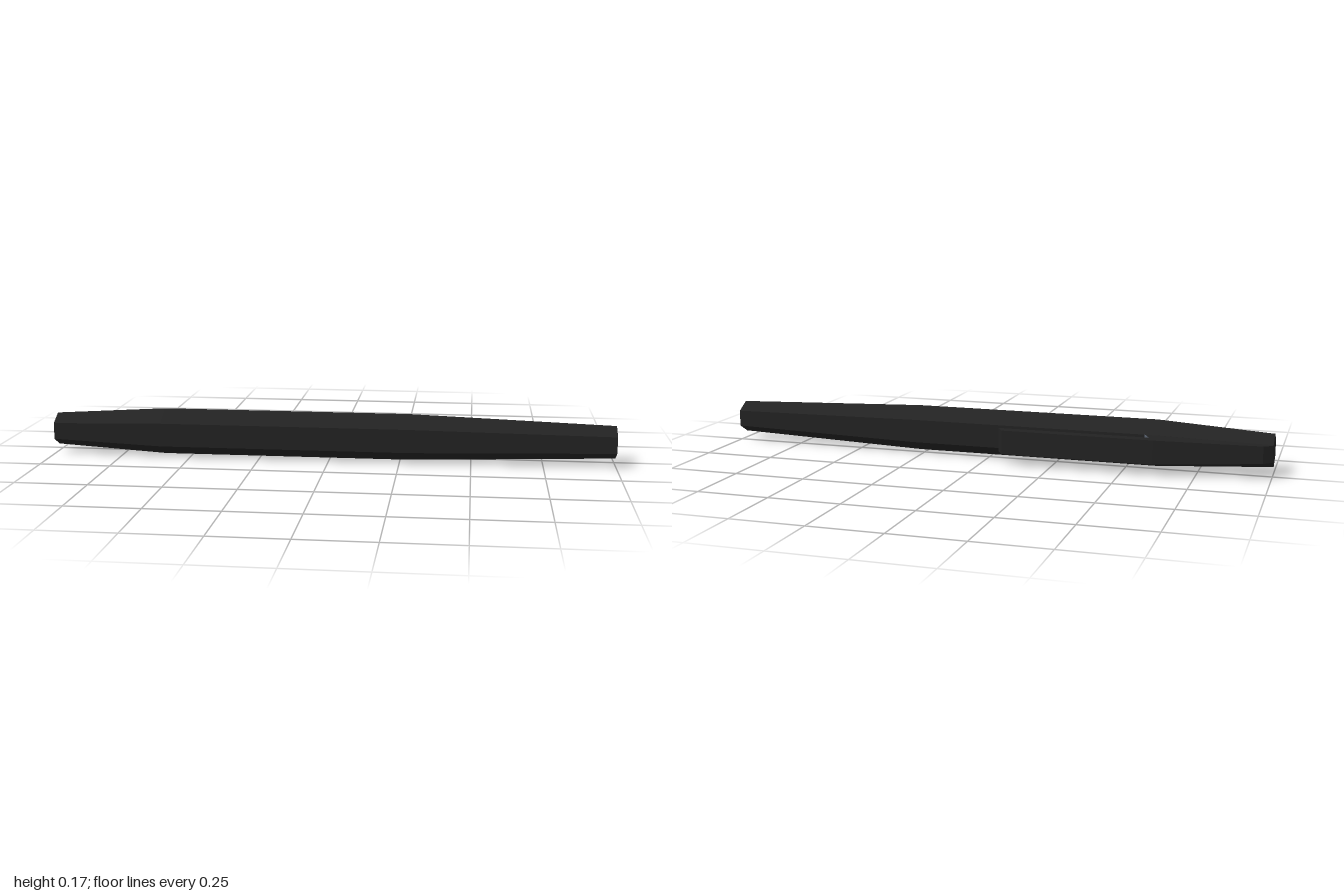
import * as THREE from 'three';

const CENTER_Y = 0.084;
const BODY_Z = 0.041;

// Half height of the clip: it follows the width of the barrel's rear flat
const clipHalf = (x) => 0.029 + 0.013 * THREE.MathUtils.clamp((x + 1) / 0.4, 0, 1);

// Upright prism from a plan outline of [x, z] points, tapered with the barrel
function clipPart(outline, name, material) {
  const shape = new THREE.Shape(outline.map(([x, z]) => new THREE.Vector2(x, z)));
  const geometry = new THREE.ExtrudeGeometry(shape, { depth: 2, bevelEnabled: false });
  geometry.translate(0, 0, -1).rotateX(Math.PI / 2);
  const p = geometry.attributes.position;
  for (let i = 0; i < p.count; i++) p.setY(i, CENTER_Y + p.getY(i) * clipHalf(p.getX(i)));
  geometry.computeVertexNormals();
  const mesh = new THREE.Mesh(geometry, material);
  mesh.name = name;
  return mesh;
}

export function createModel() {
  const black = new THREE.MeshStandardMaterial({ color: 0x222222 });
  black.name = 'black';
  const slate = new THREE.MeshStandardMaterial({ color: 0x5a6472 });
  slate.name = 'slate';

  const pen = new THREE.Group();
  pen.name = 'pen';

  // Hexagonal barrel, tapered towards both closed ends
  const profile = [[0, -1], [0.058, -1], [0.083, -0.6], [0.083, 0.28], [0.058, 1], [0, 1]]
    .map(([r, x]) => new THREE.Vector2(r, x));
  const barrelGeometry = new THREE.LatheGeometry(profile, 6)
    .rotateY(Math.PI / 2).rotateZ(-Math.PI / 2).toNonIndexed();
  barrelGeometry.computeVertexNormals();
  const barrel = new THREE.Mesh(barrelGeometry, black);
  barrel.name = 'barrel';
  barrel.position.set(0, CENTER_Y, BODY_Z);
  pen.add(barrel);

  // Pocket clip: sloping root, straight arm and the pale face inside the slot
  pen.add(
    clipPart([[-1, -0.005], [-1, -0.02], [-0.97, -0.045], [-0.61, -0.116],
      [-0.59, -0.076], [-0.57, -0.033], [-0.6, -0.03]], 'clipRoot', black),
    clipPart([[-0.61, -0.116], [-0.08, -0.116], [-0.056, -0.076], [-0.59, -0.076]], 'clipArm', black),
    clipPart([[-0.59, -0.076], [-0.57, -0.033], [-0.568, -0.033], [-0.588, -0.076]], 'slotEnd', slate),
  );
  return pen;
}
